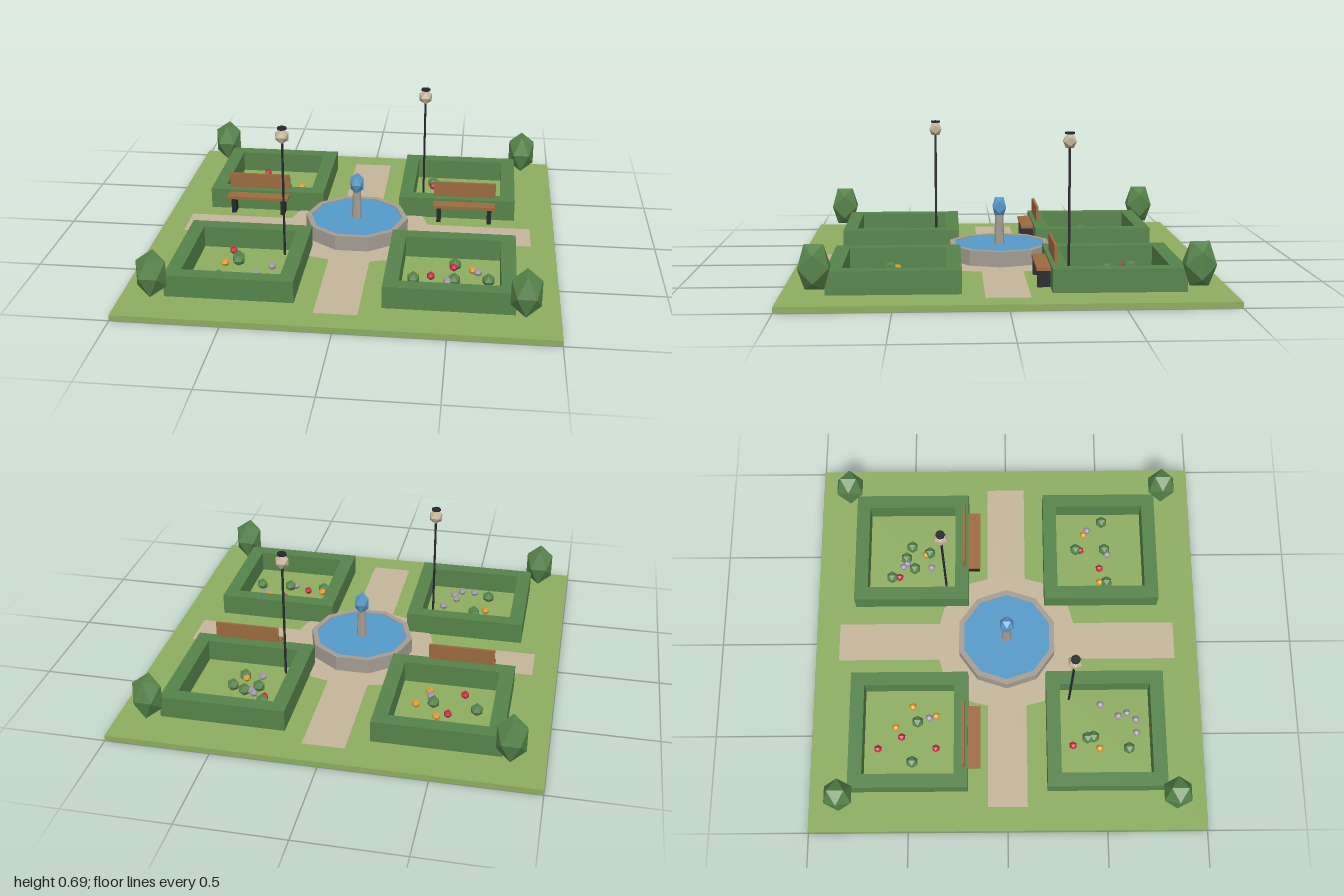
import * as THREE from 'three';

const mat = (name, color) => {
  const m = new THREE.MeshStandardMaterial({ color });
  m.name = name;
  return m;
};

export function createModel() {
  const garden = new THREE.Group();
  garden.name = 'garden';
  const grass = mat('grass', 0x8cac60), leaf = mat('leaf', 0x56834a), sand = mat('sand', 0xc4b59a);
  const stone = mat('stone', 0xa39c92), water = mat('water', 0x5599c8), wood = mat('wood', 0x9c6a40);
  const iron = mat('iron', 0x26282c), red = mat('red petals', 0xc42a40);
  const orange = mat('orange petals', 0xdc9a30), lilac = mat('lilac petals', 0xa096a6);

  const add = (parent, name, geometry, material, x = 0, y = 0, z = 0) => {
    const mesh = new THREE.Mesh(geometry, material);
    mesh.name = name;
    mesh.position.set(x, y, z);
    parent.add(mesh);
    return mesh;
  };
  const box = (w, h, d) => new THREE.BoxGeometry(w, h, d);
  // Faceted copy of a smooth geometry
  const facet = (g) => {
    const flat = g.toNonIndexed();
    flat.computeVertexNormals();
    return flat;
  };
  // Low-poly ball with its top ridge running along z
  const gem = (r, stretch = 1) =>
    new THREE.IcosahedronGeometry(r).rotateY(Math.PI / 2).scale(1, stretch, 1);

  // Lawn and crossing paths
  const top = 0.028;
  add(garden, 'lawn', box(2, top, 2), grass, 0, top / 2, 0);
  add(garden, 'pathAcross', box(1.76, 0.003, 0.2), sand, 0, top + 0.0005, 0);
  for (const s of [-1, 1]) add(garden, 'pathAlong', box(0.2, 0.003, 0.78), sand, 0, top + 0.0005, s * 0.49);
  const plaza = new THREE.CircleGeometry(0.38, 12).rotateX(-Math.PI / 2);
  add(garden, 'plaza', plaza, sand, 0, top + 0.003, 0);

  // Fountain: ten-sided open basin, water, column and spout
  const fountain = new THREE.Group();
  fountain.name = 'fountain';
  garden.add(fountain);
  const profile = [[0.26, top], [0.26, 0.107], [0.232, 0.107], [0.232, 0.09]];
  const basin = new THREE.LatheGeometry(profile.map(([x, y]) => new THREE.Vector2(x, y)), 10);
  add(fountain, 'basin', facet(basin.rotateY(Math.PI / 2)), stone);
  add(fountain, 'pool', new THREE.CircleGeometry(0.234, 10).rotateX(-Math.PI / 2), water, 0, 0.102, 0);
  add(fountain, 'column', facet(new THREE.CylinderGeometry(0.02, 0.026, 0.17, 8)), stone, 0, 0.18, 0);
  add(fountain, 'spout', gem(0.04, 1.45), water, 0, 0.288, 0);

  // Four square hedge rings, each with a bush at the outer corner
  const square = (P, h) => new P([[-h, -h], [h, -h], [h, h], [-h, h]].map(([x, y]) => new THREE.Vector2(x, y)));
  const ring = square(THREE.Shape, 0.3);
  ring.holes.push(square(THREE.Path, 0.23));
  const hedge = new THREE.ExtrudeGeometry(ring, { depth: 0.135 - top, bevelEnabled: false }).rotateX(-Math.PI / 2);
  for (const sx of [-1, 1]) {
    for (const sz of [-1, 1]) {
      add(garden, 'hedge', hedge, leaf, sx * 0.5, top, sz * 0.5);
      add(garden, 'cornerBush', gem(0.08, 1.47), leaf, sx * 0.84, 0.165, sz * 0.84);
    }
  }

  // Flower beds: x, z pairs per plant kind
  const plant = (name, material, r, y, spots) => {
    for (const [x, z] of spots) add(garden, name, gem(r), material, x, y, z);
  };
  plant('shrub', leaf, 0.032, 0.05, [
    [-0.65, -0.485], [-0.44, -0.46], [0.36, -0.61], [0.41, -0.49], [0.47, -0.535], [0.535, -0.505], [0.5, -0.41],
    [-0.53, 0.41], [-0.525, 0.44], [-0.585, 0.62], [0.515, 0.375], [0.325, 0.535], [0.515, 0.53], [0.675, 0.52]]);
  plant('redFlower', red, 0.021, 0.047, [
    [-0.58, -0.66], [-0.52, -0.54], [-0.58, -0.365], [0.36, -0.57], [-0.57, 0.335], [0.51, 0.4], [0.405, 0.5]]);
  plant('orangeFlower', orange, 0.021, 0.047, [
    [-0.47, -0.57], [-0.36, -0.485], [-0.41, -0.365], [0.49, -0.43], [-0.585, 0.47], [0.325, 0.5], [0.6, 0.42]]);
  plant('lilacFlower', lilac, 0.021, 0.047, [
    [-0.42, -0.4], [0.42, -0.55], [0.44, -0.53], [0.415, -0.4], [-0.355, 0.48], [-0.415, 0.57],
    [-0.4, 0.615], [-0.505, 0.66], [-0.435, 0.66], [0.625, 0.44], [0.485, 0.545]]);

  // Benches facing the front
  for (const s of [-1, 1]) {
    const bench = new THREE.Group();
    bench.name = 'bench';
    bench.position.x = s * 0.54;
    garden.add(bench);
    add(bench, 'seat', box(0.32, 0.015, 0.075), wood, 0, 0.115, -0.173);
    add(bench, 'backrest', box(0.32, 0.078, 0.013), wood, 0, 0.183, -0.222);
    for (const e of [-1, 1]) add(bench, 'benchLeg', box(0.022, 0.08, 0.06), iron, e * 0.13, 0.068, -0.17);
  }

  // Lamp posts on opposite corners of the plaza
  for (const s of [-1, 1]) {
    const lamp = new THREE.Group();
    lamp.name = 'lampPost';
    lamp.position.set(s * 0.32, 0, -s * 0.32);
    garden.add(lamp);
    add(lamp, 'pole', facet(new THREE.CylinderGeometry(0.006, 0.006, 0.6, 6)), iron, 0, top + 0.3, 0);
    add(lamp, 'globe', gem(0.037), sand, 0, 0.65, 0);
    add(lamp, 'cap', facet(new THREE.CylinderGeometry(0.023, 0.023, 0.01, 8)), iron, 0, 0.69, 0);
  }
  return garden;
}
